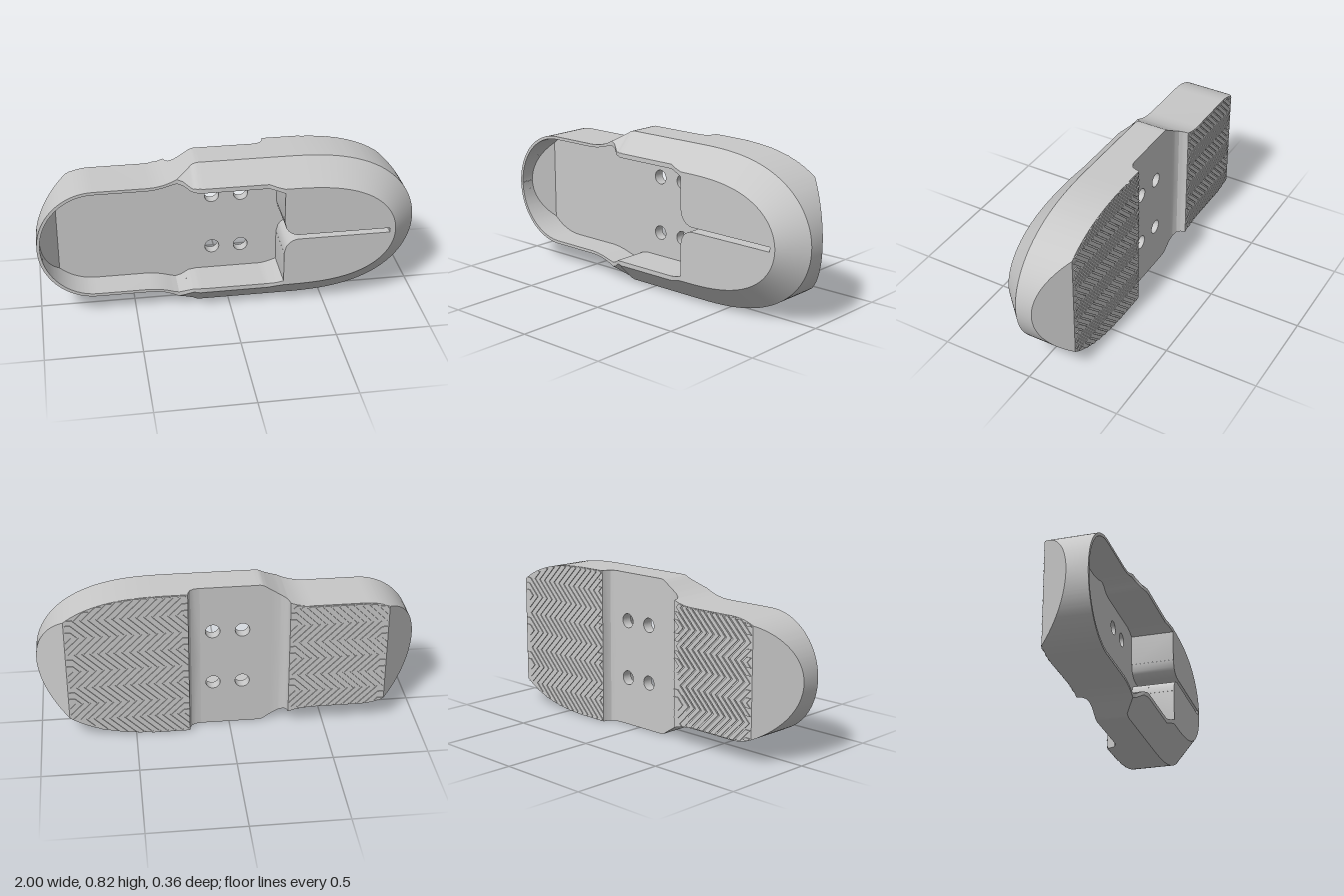
import * as THREE from 'three';
import { toCreasedNormals } from 'three/addons/utils/BufferGeometryUtils.js';

// Piecewise linear lookup in a short list of [x, value] points
function lerpTable(points, x) {
  if (x <= points[0][0]) return points[0][1];
  for (let i = 1; i < points.length; i++) {
    const [x0, v0] = points[i - 1], [x1, v1] = points[i];
    if (x <= x1) return v0 + (v1 - v0) * (x - x0) / (x1 - x0 || 1);
  }
  return points[points.length - 1][1];
}

const CENTRE_Y = 0.4125, FLOOR = -0.058, TREAD_Z = -0.18, TOE_X = 0.28, SLOT_END = 0.845;
const PLATE_X = 0.15; // half length of the drilled plate

// Outer toe outline (blunt superellipse) and its inset front edge
const outerToe = [], innerToe = [], BLUNT = 2.8;
for (let i = 0; i <= 32; i++) {
  const t = Math.PI / 2 * i / 32;
  const u = Math.sin(t) ** (2 / BLUNT);
  const x = TOE_X + 0.72 * u, y = i < 32 ? 0.4125 * Math.cos(t) : 0;
  const n = new THREE.Vector2(BLUNT * u ** (BLUNT - 1) / 0.72, 2 * y / 0.4125 ** 2).normalize();
  outerToe.push([x, y]);
  innerToe.push([x - 0.125 * n.x, y - 0.125 * n.y]);
}

const waist = [[-0.7, 0.31], [-0.42, 0.31], [-0.38, 0.313], [-0.34, 0.321], [-0.3, 0.335], [-0.26, 0.355],
  [-0.22, 0.38], [-0.18, 0.407], [-0.16, 0.4125], [TOE_X, 0.4125]];
const pocket = [[-0.7, 0.294], [-0.42, 0.294], [-0.38, 0.298], [-0.34, 0.306], [-0.3, 0.318], [-0.27, 0.325],
  [-0.24, 0.316], [-0.2, 0.292], [-0.16, 0.2855], [0.2, 0.2855], [0.24, 0.276], [TOE_X, 0.2625]];
const rim = [[-0.27, 0.108], [-0.24, 0.116], [-0.2, 0.143], [-0.17, 0.155], [-0.14, 0.158], [0.2, 0.158],
  [0.24, 0.171], [TOE_X, 0.18]];
const bevelStart = [[-0.27, 0.108], [-0.19, 0.055]];
const back = [[-1, 0], [-0.825, -0.175], [-0.31, -0.175], [-0.305, -0.15], [-0.292, -0.13], [-0.27, -0.119],
  [-0.24, -0.115], [0.15, -0.115], [0.18, -0.119], [0.2, -0.131], [0.21, -0.15], [0.215, -0.175],
  [0.8455, -0.175], [1, -0.035]];

const ellipseHalf = (x, a, b) => b * Math.sqrt(Math.max(0, 1 - ((x + 0.7) / a) ** 2));
const halfWidth = x => x < -0.7 ? ellipseHalf(x, 0.3, 0.31)
  : x <= TOE_X ? lerpTable(waist, x) : lerpTable(outerToe, x);
const rimZ = x => lerpTable(rim, x);
const bevelZ = x => lerpTable(bevelStart, x);
const backZ = x => lerpTable(back, x);
const floorZ = x => Math.max(FLOOR, FLOOR - 0.89 - x);
const frontHalf = x => x <= TOE_X ? halfWidth(x) - (rimZ(x) - bevelZ(x)) : lerpTable(innerToe, x);
function pocketHalf(x) {
  if (x < -0.7) return ellipseHalf(x, 0.284, 0.294);
  if (x <= TOE_X) return lerpTable(pocket, x);
  if (x < 0.36) return 0.0925 - Math.sqrt(0.0064 - (x - 0.36) ** 2);
  return x < SLOT_END ? 0.0125 : 0;
}

function bodyGeometry() {
  const pos = [];
  const triangle = (a, b, c) => {
    const [p, q, r] = [a, b, c].map(v => new THREE.Vector3(...v));
    if (q.clone().sub(p).cross(r.clone().sub(p)).length() > 1e-9) pos.push(...a, ...b, ...c);
  };
  // Each quad is added together with its mirror image across y = 0
  const quad = (a, b, c, d) => {
    triangle(a, b, c);
    triangle(a, c, d);
    const [e, f, g, h] = [a, b, c, d].map(([x, y, z]) => [x, -y, z]);
    triangle(e, g, f);
    triangle(e, h, g);
  };

  // Stations along the length
  let xs = [-PLATE_X, PLATE_X, -0.89, SLOT_END];
  for (const list of [outerToe, innerToe, waist, pocket, rim, bevelStart, back]) xs.push(...list.map(p => p[0]));
  for (let i = 0; i <= 20; i++) {
    const c = Math.cos(Math.PI / 2 * i / 20);
    xs.push(-0.7 - 0.3 * c, -0.7 - 0.284 * c);
    if (i <= 8) xs.push(0.28 + 0.01 * i);
  }
  xs = xs.sort((a, b) => a - b).filter((x, i, all) => i === 0 || x - all[i - 1] > 1e-5);

  // Cross-section: back, side, bevel, front rim, pocket wall, pocket floor
  const section = (x, nudge) => {
    const h = halfWidth(x), p = pocketHalf(x + nudge), f = rimZ(x);
    return [[0, backZ(x)], [h, backZ(x)], [h, bevelZ(x)], [frontHalf(x), f], [p, f], [p, floorZ(x)], [0, floorZ(x)]]
      .map(([y, z]) => [x, y, z]);
  };
  for (let i = 1; i < xs.length; i++) {
    const x0 = xs[i - 1], x1 = xs[i], mid = (x0 + x1) / 2;
    const s = section(x0, 1e-6), t = section(x1, -1e-6);
    for (let j = 0; j < 6; j++) {
      if ((j === 0 || j === 5) && Math.abs(mid) < PLATE_X) continue;
      if (j === 2 && mid > TOE_X) continue;
      if (j === 3 && mid > 0.875) continue;
      if (j > 3 && mid > SLOT_END) continue;
      quad(s[j], s[j + 1], t[j + 1], t[j]);
    }
  }

  // Toe bevel
  for (let i = 1; i < outerToe.length; i++) {
    quad([...outerToe[i - 1], 0.055], [...innerToe[i - 1], 0.18], [...innerToe[i], 0.18], [...outerToe[i], 0.055]);
  }

  // End walls of the pocket and the slot
  for (const [x, y0, y1] of [[TOE_X, 0.0925, 0.2625], [SLOT_END, 0, 0.0125]]) {
    quad([x, y0, FLOOR], [x, y0, 0.18], [x, y1, 0.18], [x, y1, FLOOR]);
  }

  const geometry = new THREE.BufferGeometry();
  geometry.setAttribute('position', new THREE.Float32BufferAttribute(pos, 3));
  return toCreasedNormals(geometry, 0.45);
}

// Arch floor with four bolt holes
function plateGeometry() {
  const w = PLATE_X, h = 0.412;
  const shape = new THREE.Shape([[-w, -h], [w, -h], [w, h], [-w, h]].map(p => new THREE.Vector2(...p)));
  for (const x of [-0.07, 0.085]) for (const y of [-0.155, 0.155]) {
    shape.holes.push(new THREE.Path().absarc(x, y, 0.038, 0, Math.PI * 2, true));
  }
  return new THREE.ExtrudeGeometry(shape, { depth: FLOOR + 0.115, bevelEnabled: false, curveSegments: 24 })
    .translate(0, 0, -0.115);
}

// Herringbone ridges, trimmed to the outline
function treadGeometry(xMin, xMax) {
  const shapes = [], band = 0.1, pitch = 0.04, w = 0.0145;
  for (let row = -5; row < 5; row++) {
    const slope = row % 2 === 0 ? 1 : -1;
    const start = slope > 0 ? 0 : band;
    for (let x = xMin - band; x < xMax + band; x += pitch) {
      const inside = [];
      for (let k = 0; k <= 20; k++) {
        const d = band * k / 20, px = x + start + slope * d, py = row * band + d;
        const ok = [px - w, px + w].every(v => v >= xMin && v <= xMax && Math.abs(py) <= halfWidth(v));
        if (ok) inside.push([px, py]);
      }
      if (inside.length < 2) continue;
      const [ax, ay] = inside[0], [bx, by] = inside[inside.length - 1];
      shapes.push(new THREE.Shape([[ax - w, ay], [ax + w, ay], [bx + w, by], [bx - w, by]]
        .map(p => new THREE.Vector2(...p))));
    }
  }
  return new THREE.ExtrudeGeometry(shapes, { depth: 0.0055, bevelEnabled: false }).translate(0, 0, TREAD_Z);
}

export function createModel() {
  const grey = new THREE.MeshStandardMaterial({ color: 0xc8c8c8 });
  grey.name = 'plain grey';
  const model = new THREE.Group();
  model.name = 'footShell';
  const add = (name, geometry) => {
    const mesh = new THREE.Mesh(geometry, grey);
    mesh.name = name;
    mesh.position.y = CENTRE_Y;
    model.add(mesh);
  };
  add('body', bodyGeometry());
  add('archPlate', plateGeometry());
  add('heelTread', treadGeometry(-0.82, -0.31));
  add('toeTread', treadGeometry(0.215, 0.84));
  return model;
}
